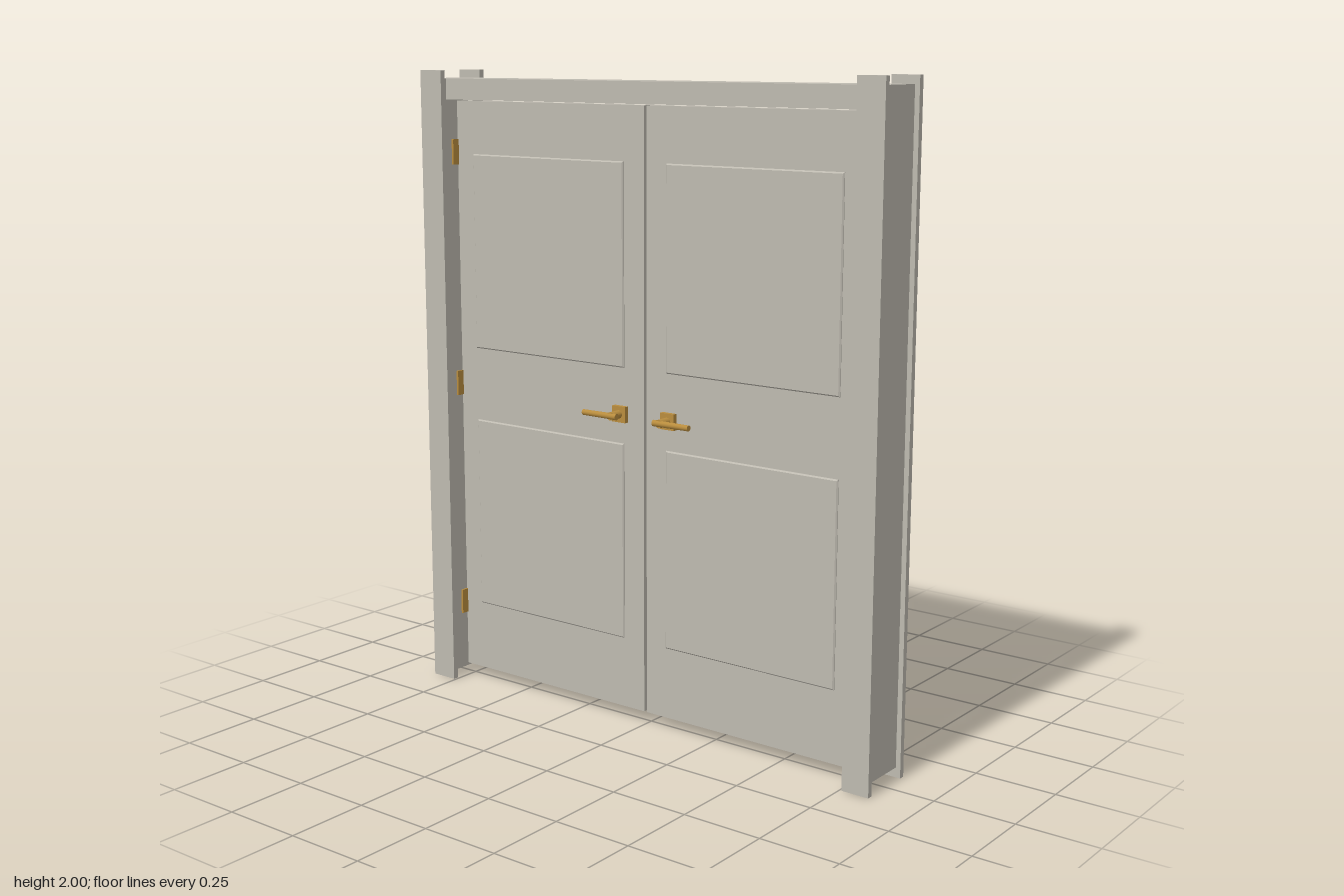
import * as THREE from 'three';

const paint = new THREE.MeshStandardMaterial({ name: 'warm grey paint', color: 0xbebab0 });
const brass = new THREE.MeshStandardMaterial({ name: 'brass', color: 0xb98d3e });

// Box given by its minimum and maximum on each axis
function box(name, material, [x0, x1], [y0, y1], [z0, z1]) {
  const mesh = new THREE.Mesh(new THREE.BoxGeometry(x1 - x0, y1 - y0, z1 - z0), material);
  mesh.name = name;
  mesh.position.set((x0 + x1) / 2, (y0 + y1) / 2, (z0 + z1) / 2);
  return mesh;
}

// Raised panel with a small bevel around its face
function raisedPanel(name, x0, x1, y0, y1, z) {
  const b = 0.004, shape = new THREE.Shape();
  shape.moveTo(x0 + b, y0 + b);
  shape.lineTo(x1 - b, y0 + b);
  shape.lineTo(x1 - b, y1 - b);
  shape.lineTo(x0 + b, y1 - b);
  shape.closePath();
  const geometry = new THREE.ExtrudeGeometry(shape, {
    depth: 0.004, bevelEnabled: true, bevelSize: b, bevelThickness: b, bevelSegments: 1,
  });
  const mesh = new THREE.Mesh(geometry, paint);
  mesh.name = name;
  mesh.position.z = z;
  return mesh;
}

// Lever handle for the +z face, pointing along +x from its plate
function leverHandle() {
  const handle = new THREE.Group();
  handle.name = 'leverHandle';
  handle.add(box('handlePlate', brass, [-0.025, 0.025], [-0.025, 0.025], [0, 0.014]));
  const spindle = new THREE.Mesh(new THREE.CylinderGeometry(0.013, 0.013, 0.045, 16), brass);
  spindle.name = 'spindle';
  spindle.rotation.x = Math.PI / 2;
  spindle.position.z = 0.0325;
  const lever = new THREE.Mesh(new THREE.CylinderGeometry(0.009, 0.01, 0.13, 12), brass);
  lever.name = 'lever';
  lever.rotation.z = -Math.PI / 2;
  lever.position.set(0.043, 0, 0.051);
  handle.add(spindle, lever);
  return handle;
}

export function createModel() {
  const model = new THREE.Group();
  model.name = 'doubleDoor';
  const span = (s, a, b) => (s > 0 ? [a, b] : [-b, -a]);

  // Header joining the two jambs
  model.add(box('header', paint, [-0.83, 0.83], [1.91, 1.975], [-0.075, 0.075]));

  for (const s of [1, -1]) {
    const side = s > 0 ? 'left' : 'right';

    // Jamb with a casing board on each face
    model.add(box(side + 'Jamb', paint, span(s, 0.757, 0.83), [0.03, 1.975], [-0.08, 0.08]));
    for (const f of [1, -1]) {
      model.add(box(side + 'Casing', paint, span(s, 0.757, 0.845), [0, 2], span(f, 0.08, 0.098)));
    }

    // Door leaf with two raised panels on the front
    const door = new THREE.Group();
    door.name = side + 'Door';
    door.add(box('doorLeaf', paint, span(s, 0.005, 0.754), [0.04, 1.905], [-0.03, 0.03]));
    for (const [y0, y1] of [[0.265, 0.885], [1.12, 1.74]]) {
      const [x0, x1] = span(s, 0.08, 0.685);
      door.add(raisedPanel('raisedPanel', x0, x1, y0, y1, 0.028));
    }

    // Hinges reach past both faces of the leaf
    for (const y of [0.26, 1.0, 1.745]) {
      door.add(box('hinge', brass, span(s, 0.75, 0.759), [y - 0.04, y + 0.04], [-0.055, 0.055]));
    }

    // Handles on both faces, levers pointing towards the hinges
    for (const f of [1, -1]) {
      const handle = leverHandle();
      handle.position.set(s * 0.092, 0.977, f * 0.03);
      if (f > 0 && s < 0) handle.rotation.z = Math.PI;
      if (f < 0 && s < 0) handle.rotation.y = Math.PI;
      if (f < 0 && s > 0) handle.rotation.x = Math.PI;
      door.add(handle);
    }
    model.add(door);
  }
  return model;
}
